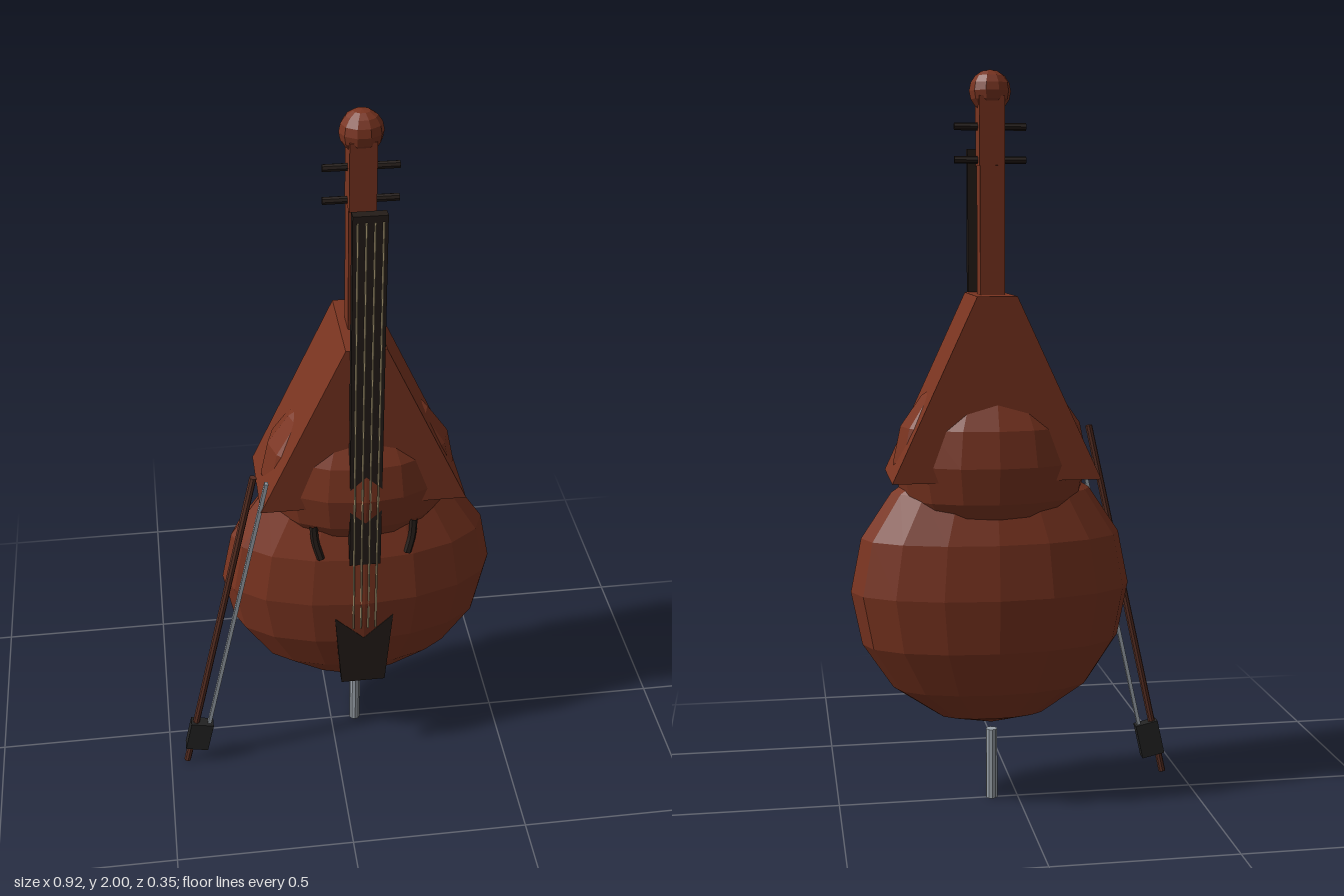
import * as THREE from 'three';

const mat = (color) => new THREE.MeshStandardMaterial({ color, flatShading: true });

export function createModel() {
  const model = new THREE.Group();
  const wood = mat(0x7a3420), ebony = mat(0x241c18), metal = mat(0x9aa2aa);
  const stringMat = mat(0xc0ae84), stickMat = mat(0x5a3024), frogMat = mat(0x242424);

  const add = (parent, name, geometry, material, x = 0, y = 0, z = 0) => {
    const mesh = new THREE.Mesh(geometry, material);
    mesh.name = name;
    mesh.position.set(x, y, z);
    parent.add(mesh);
    return mesh;
  };
  // Flat outline extruded between two depths
  const slab = (points, z0, z1) => {
    const shape = new THREE.Shape(points.map(([x, y]) => new THREE.Vector2(x, y)));
    return new THREE.ExtrudeGeometry(shape, { depth: z1 - z0, bevelEnabled: false }).translate(0, 0, z0);
  };

  const cello = new THREE.Group();
  cello.name = 'cello';
  cello.position.x = 0.073;
  model.add(cello);

  // Body: two flattened faceted bouts and a tapering shoulder block
  add(cello, 'lowerBout', new THREE.SphereGeometry(1, 16, 8).scale(0.386, 0.386, 0.175), wood, 0, 0.605);
  add(cello, 'upperBout', new THREE.SphereGeometry(1, 16, 8).scale(0.267, 0.255, 0.175), wood, 0, 0.96);
  add(cello, 'shoulders', slab([[-0.28, 0.92], [0.28, 0.92], [0.053, 1.41], [-0.053, 1.41]], -0.131, 0.131), wood);

  // Neck, peg box, scroll
  add(cello, 'neck', new THREE.BoxGeometry(0.066, 0.5, 0.066), wood, 0, 1.53, -0.008);
  add(cello, 'pegBox', new THREE.BoxGeometry(0.068, 0.18, 0.084), wood, 0, 1.84, 0);
  add(cello, 'scroll', new THREE.SphereGeometry(0.056, 10, 8).scale(1, 1, 0.92), wood, 0, 1.944, 0);

  // Pegs pass through the peg box
  for (const y of [1.765, 1.852]) {
    add(cello, 'peg', new THREE.CylinderGeometry(0.01, 0.01, 0.192, 8).rotateZ(Math.PI / 2), ebony, 0, y, 0);
  }

  // Fingerboard and notched tailpiece
  add(cello, 'fingerboard', new THREE.BoxGeometry(0.086, 1.06, 0.027), ebony, 0, 1.27, 0.151);
  add(cello, 'tailpiece', slab(
    [[-0.063, 0.305], [0.063, 0.305], [0.083, 0.55], [0, 0.47], [-0.083, 0.55]], 0.137, 0.164), ebony);

  // Four strings
  for (let i = 0; i < 4; i++) {
    add(cello, 'string', new THREE.CylinderGeometry(0.003, 0.003, 1.27, 6), stringMat, (i - 1.5) * 0.021, 1.15, 0.171);
  }

  // Mirrored sound holes
  for (const s of [-1, 1]) {
    const curve = new THREE.CatmullRomCurve3([
      new THREE.Vector3(s * 0.138, 0.86, 0.128),
      new THREE.Vector3(s * 0.134, 0.81, 0.136),
      new THREE.Vector3(s * 0.12, 0.76, 0.148),
    ]);
    add(cello, 'soundHole', new THREE.TubeGeometry(curve, 5, 0.011, 6), ebony);
  }

  add(cello, 'endPin', new THREE.CylinderGeometry(0.016, 0.016, 0.2, 10), metal, 0, 0.1, 0);

  // Bow leaning beside the body; local origin is the foot of the stick
  const bow = new THREE.Group();
  bow.name = 'bow';
  bow.position.set(-0.451, 0.003, 0.121);
  bow.rotation.z = -0.217;
  model.add(bow);
  add(bow, 'bowStick', new THREE.CylinderGeometry(0.01, 0.01, 1.055, 8), stickMat, 0, 0.5275, 0);
  add(bow, 'bowHair', new THREE.BoxGeometry(0.01, 0.9, 0.014), metal, 0.039, 0.59, 0);
  add(bow, 'frog', new THREE.BoxGeometry(0.066, 0.1, 0.033), frogMat, 0.018, 0.108, 0);

  return model;
}
